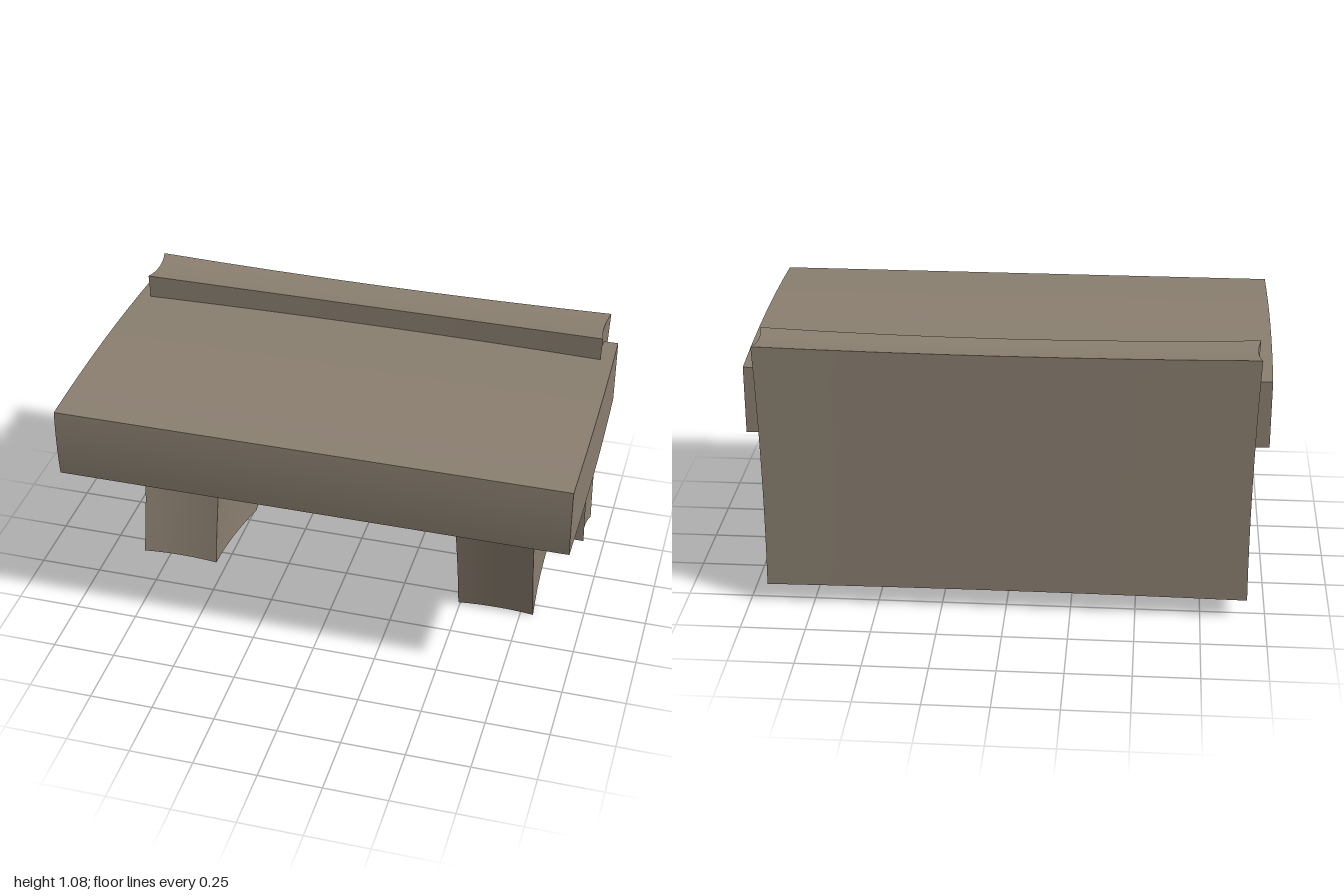
import * as THREE from 'three';

const material = new THREE.MeshStandardMaterial({ color: 0x8a7f70 });

// Hewn block: a subdivided box whose u, v, w (-1..1) are mapped to x, y, z.
// Each side keeps its own vertices, so the edges stay sharp and the faces smooth.
function block(name, map) {
  const geometry = new THREE.BoxGeometry(2, 2, 2, 8, 8, 8);
  const p = geometry.attributes.position;
  for (let i = 0; i < p.count; i++) {
    p.setXYZ(i, ...map(p.getX(i), p.getY(i), p.getZ(i)));
  }
  geometry.computeVertexNormals();
  const mesh = new THREE.Mesh(geometry, material);
  mesh.name = name;
  return mesh;
}

const mix = (a, b, t) => a + (b - a) * (t + 1) / 2; // t from -1 to 1
const bow = (t) => 1 - t * t; // 1 in the middle, 0 at the ends

export function createModel() {
  const group = new THREE.Group();
  group.name = 'bench';

  // Thick seat slab, slightly bulging and a little thinner at the back
  group.add(block('seat', (u, v, w) => [
    u * (mix(0.983, 0.993, w) + 0.006 * bow(w)),
    mix(mix(0.715, 0.708, w) - 0.006 * bow(w), mix(0.98, 0.99, w) + 0.01 * bow(w), v),
    mix(-0.513, 0.555 + 0.004 * v + 0.007 * bow(v), w),
  ]));

  // Upright back board with hollowed top, ends and underside
  group.add(block('backBoard', (u, v, w) => [
    u * (mix(0.928, 0.94, v) - 0.008 * bow(v) - 0.012 * bow(w)),
    mix(0.085 + 0.006 * bow(w) + 0.004 * bow(u), 1.082 - 0.012 * bow(u) - 0.008 * bow(w), v),
    mix(mix(-0.55, -0.56, v) + 0.004 * bow(u), mix(-0.37, -0.362, v) - 0.02 * bow(u) * (v + 1) / 2, w),
  ]));

  // Two legs, leaning opposite ways
  for (const side of [-1, 1]) {
    const front = side > 0 ? { bottom: [0.065, 0.003], top: [0.24, 0.74] } : { bottom: [0.222, 0.125], top: [0.10, 0.74] };
    const back = side > 0 ? { bottom: [-0.48, 0.125], top: [-0.33, 0.74] } : { bottom: [-0.33, 0.003], top: [-0.475, 0.74] };
    group.add(block(side > 0 ? 'leftLeg' : 'rightLeg', (u, v, w) => [
      side * 0.647 + u * (mix(0.155, 0.168, v) - 0.006 * bow(v) - 0.012 * bow(w)),
      mix(mix(back.bottom[1], front.bottom[1], w), 0.74, v) + 0.01 * bow(u) * bow(w) * (1 - v) / 2,
      mix(mix(back.bottom[0], back.top[0], v), mix(front.bottom[0], front.top[0], v) - 0.01 * bow(u), w),
    ]));
  }
  return group;
}
